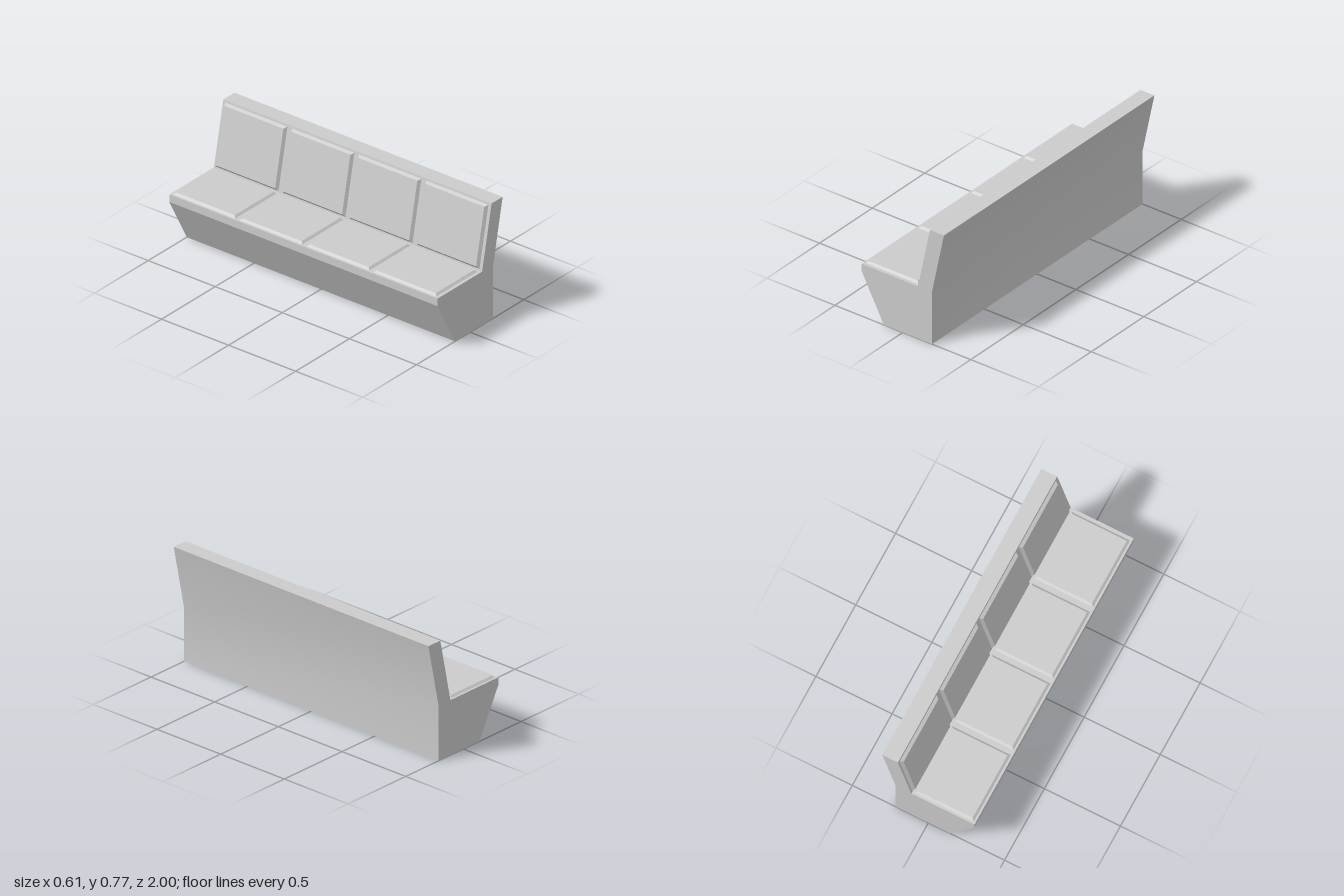
import * as THREE from 'three';
import { toCreasedNormals } from 'three/addons/utils/BufferGeometryUtils.js';

const material = new THREE.MeshStandardMaterial({ color: 0xcccccc });
const LENGTH = 2;
const PAD_LENGTH = 0.466;
const BEVEL = 0.014;

// Side profile of the bench (x, y)
const PROFILE = [
  [-0.14, 0], [0.215, 0], [0.215, 0.355], [0.303, 0.77],
  [0.2, 0.77], [0.112, 0.355], [-0.303, 0.355], [-0.303, 0.305],
];

// Flat cushion: a box on y = 0 whose upper face is drawn in to form chamfers
function padGeometry(width, height) {
  const geometry = new THREE.BoxGeometry(width, height, PAD_LENGTH);
  geometry.translate(0, height / 2, 0);
  const p = geometry.attributes.position;
  for (let i = 0; i < p.count; i++) {
    if (p.getY(i) < height / 2) continue;
    p.setX(i, p.getX(i) - Math.sign(p.getX(i)) * BEVEL);
    p.setZ(i, p.getZ(i) - Math.sign(p.getZ(i)) * BEVEL);
  }
  return toCreasedNormals(geometry, 0.3);
}

function addMesh(parent, name, geometry) {
  const mesh = new THREE.Mesh(geometry, material);
  mesh.name = name;
  parent.add(mesh);
  return mesh;
}

export function createModel() {
  const bench = new THREE.Group();
  bench.name = 'bench';

  // Base and backrest in one extruded body
  const shape = new THREE.Shape(PROFILE.map(([x, y]) => new THREE.Vector2(x, y)));
  const body = new THREE.ExtrudeGeometry(shape, { depth: LENGTH, bevelEnabled: false });
  body.translate(0, 0, -LENGTH / 2);
  addMesh(bench, 'benchBody', toCreasedNormals(body, 0.3));

  // Four places, each with a seat pad and a leaning back pad
  const seatPad = padGeometry(0.386, 0.012);
  const backPad = padGeometry(0.4, 0.018);
  const lean = Math.atan2(0.415, 0.088);
  for (let i = 0; i < 4; i++) {
    const z = -0.753 + i * 0.4995;
    addMesh(bench, `seatPad${i + 1}`, seatPad).position.set(-0.097, 0.355, z);

    const back = addMesh(bench, `backPad${i + 1}`, backPad);
    back.rotation.z = lean;
    back.position.set(0.112 + Math.cos(lean) * 0.21, 0.355 + Math.sin(lean) * 0.21, z);
  }
  return bench;
}
